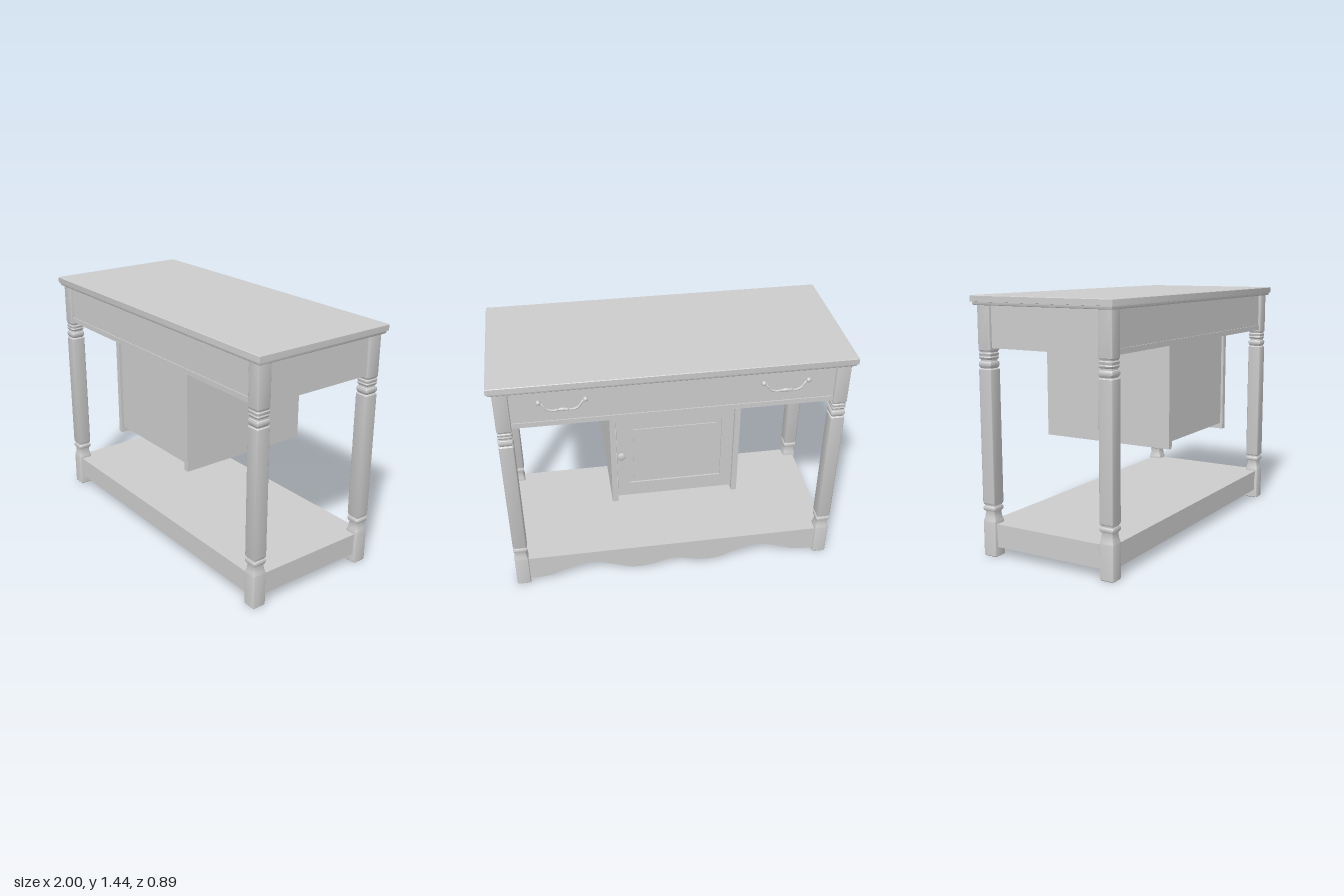
import * as THREE from 'three';
import { toCreasedNormals } from 'three/addons/utils/BufferGeometryUtils.js';

const material = new THREE.MeshStandardMaterial({ color: 0xcccccc });

export function createModel() {
  const model = new THREE.Group();

  function add(name, geometry, x = 0, y = 0, z = 0, parent = model) {
    const mesh = new THREE.Mesh(geometry, material);
    mesh.name = name;
    mesh.position.set(x, y, z);
    parent.add(mesh);
    return mesh;
  }

  // Box given by its two opposite corners
  function box(name, x0, x1, y0, y1, z0, z1) {
    return add(name, new THREE.BoxGeometry(x1 - x0, y1 - y0, z1 - z0),
      (x0 + x1) / 2, (y0 + y1) / 2, (z0 + z1) / 2);
  }

  // Rounded rectangle stacked along y; profile rows are [height, inset]
  function loft(hx, hz, r, profile) {
    const pos = [], index = [], steps = 4, n = 4 * (steps + 1);
    for (const [y, inset] of profile) {
      for (let c = 0; c < 4; c++) {
        const sx = c === 0 || c === 3 ? 1 : -1, sz = c < 2 ? 1 : -1;
        for (let s = 0; s <= steps; s++) {
          const a = (c + s / steps) * Math.PI / 2;
          pos.push(sx * (hx - inset - r) + r * Math.cos(a), y, sz * (hz - inset - r) + r * Math.sin(a));
        }
      }
    }
    const last = (profile.length - 1) * n;
    for (let j = 0; j < last; j += n) {
      for (let i = 0; i < n; i++) {
        const a = j + i, b = j + (i + 1) % n;
        index.push(a, a + n, b, b, a + n, b + n);
      }
    }
    for (let i = 1; i < n - 1; i++) {
      index.push(0, i, i + 1, last, last + i + 1, last + i);
    }
    const g = new THREE.BufferGeometry();
    g.setAttribute('position', new THREE.Float32BufferAttribute(pos, 3));
    g.setIndex(index);
    return toCreasedNormals(g, 0.6);
  }

  // Moulded table top
  add('tableTop', loft(1, 0.447, 0.004, [
    [1.388, 0.014], [1.392, 0.01], [1.4, 0.008], [1.405, 0.008], [1.406, 0], [1.437, 0], [1.44, 0.003],
  ]));

  // Legs: square blocks and shafts with softly moulded necks
  const legProfile = [
    [0, 0.003], [0.004, 0], [0.195, 0], [0.205, 0.002], [0.225, 0.007], [0.25, 0.009], [0.257, 0.008],
    [0.259, 0.003], [0.266, 0], [0.278, 0], [0.284, 0.003], [0.286, 0.007], [0.293, 0.007],
    [0.295, 0.003], [0.3, 0.001], [0.305, 0], [1.043, 0], [1.047, 0.003], [1.05, 0.007],
    [1.056, 0.004], [1.064, 0], [1.078, 0], [1.085, 0.003], [1.088, 0.008], [1.097, 0.008],
    [1.1, 0.004], [1.108, 0.001], [1.116, 0.004], [1.122, 0.002], [1.13, 0.001], [1.136, 0.005],
    [1.142, 0.004], [1.148, 0], [1.39, 0],
  ];
  const legGeometry = loft(0.041, 0.0425, 0.009, legProfile);
  for (const sx of [1, -1]) {
    for (const sz of [1, -1]) {
      add((sz > 0 ? 'front' : 'back') + (sx > 0 ? 'Left' : 'Right') + 'Leg', legGeometry, sx * 0.93, 0, sz * 0.3825);
    }
  }

  // Apron with a slightly proud bottom strip
  box('apron', -0.955, 0.955, 1.165, 1.389, -0.408, 0.408);
  box('apronStrip', -0.955, 0.955, 1.16, 1.19, -0.414, 0.414);

  // Hanging cabinet
  for (const s of [1, -1]) {
    const side = box(s > 0 ? 'cabinetLeftSide' : 'cabinetRightSide', -0.016, 0.016, 0.58, 1.161, -0.415, 0.415);
    side.position.x = s * 0.349;
  }
  box('cabinetFrontPanel', -0.333, 0.333, 0.615, 1.161, 0.375, 0.4);
  box('cabinetBottom', -0.333, 0.333, 0.615, 0.64, -0.385, 0.38);

  // Panelled door on the back
  function rect(path, x0, x1, y0, y1) {
    path.moveTo(x0, y0);
    path.lineTo(x1, y0);
    path.lineTo(x1, y1);
    path.lineTo(x0, y1);
    path.closePath();
    return path;
  }
  const doorShape = rect(new THREE.Shape(), -0.329, 0.329, 0.617, 1.158);
  doorShape.holes.push(rect(new THREE.Path(), -0.262, 0.262, 0.705, 1.1));
  add('doorFrame', new THREE.ExtrudeGeometry(doorShape, { depth: 0.025, bevelEnabled: false }), 0, 0, -0.41);
  box('doorPanel', -0.265, 0.265, 0.7, 1.105, -0.4, -0.387);
  box('doorRaisedField', -0.236, 0.236, 0.731, 1.074, -0.406, -0.395);

  // Door knob
  const knobPoints = [[0, 0], [0.024, 0], [0.022, 0.004], [0.011, 0.006], [0.013, 0.009], [0.02, 0.012],
    [0.021, 0.016], [0.015, 0.02], [0, 0.021]].map(([r, y]) => new THREE.Vector2(r, y));
  add('doorKnob', new THREE.LatheGeometry(knobPoints, 24), 0.305, 0.905, -0.409).rotation.x = -Math.PI / 2;

  // Swooping drawer pulls with ball ends and a beaded grip
  const half = [[0.125, 0.03, 0.002], [0.105, 0.015, -0.008], [0.085, -0.01, -0.012], [0.055, -0.021, -0.014], [0.028, -0.018, -0.015]];
  const pullPoints = [
    ...half.map(([x, y, z]) => new THREE.Vector3(-x, y, z)),
    new THREE.Vector3(0, -0.018, -0.015),
    ...half.map(([x, y, z]) => new THREE.Vector3(x, y, z)).reverse(),
  ];
  const pullGeometry = new THREE.TubeGeometry(new THREE.CatmullRomCurve3(pullPoints), 48, 0.0065, 10);
  const ball = new THREE.SphereGeometry(0.014, 16, 12);
  for (const s of [1, -1]) {
    const pull = new THREE.Group();
    pull.name = s > 0 ? 'leftDrawerPull' : 'rightDrawerPull';
    pull.position.set(s * 0.61, 1.283, -0.409);
    model.add(pull);
    add('pullBar', pullGeometry, 0, 0, 0, pull);
    add('pullGrip', ball, 0, -0.018, -0.013, pull).scale.set(1.9, 0.75, 0.7);
    for (const e of [1, -1]) {
      add('pullBall', ball, e * 0.125, 0.03, -0.006, pull);
      add('pullBead', ball, e * 0.03, -0.018, -0.013, pull).scale.set(0.3, 0.85, 0.7);
    }
  }

  // Lower shelf, open underneath, framed by rails
  box('shelf', -0.955, 0.955, 0.15, 0.187, -0.41, 0.41);
  box('frontRail', -0.92, 0.92, 0.055, 0.155, 0.377, 0.407);
  for (const s of [1, -1]) {
    const rail = box(s > 0 ? 'leftRail' : 'rightRail', -0.015, 0.015, 0.055, 0.155, -0.38, 0.38);
    rail.position.x = s * 0.938;
  }

  // Scalloped rail on the back
  const wave = [[0.92, 0.03], [0.89, 0.026], [0.84, 0.025], [0.76, 0.034], [0.69, 0.06], [0.6, 0.092], [0.52, 0.103],
    [0.44, 0.09], [0.35, 0.058], [0.29, 0.034], [0.22, 0.025], [0.13, 0.035], [0.05, 0.058]];
  const edge = [
    ...wave.map(([x, y]) => new THREE.Vector2(-x, y)),
    new THREE.Vector2(0, 0.064),
    ...wave.map(([x, y]) => new THREE.Vector2(x, y)).reverse(),
  ];
  const railShape = new THREE.Shape();
  railShape.moveTo(-0.92, 0.155);
  railShape.lineTo(edge[0].x, edge[0].y);
  railShape.splineThru(edge.slice(1));
  railShape.lineTo(0.92, 0.155);
  railShape.closePath();
  const railGeometry = new THREE.ExtrudeGeometry(railShape, { depth: 0.03, bevelEnabled: false, curveSegments: 4 });
  add('scallopedRail', toCreasedNormals(railGeometry, 0.6), 0, 0, -0.409);

  return model;
}
